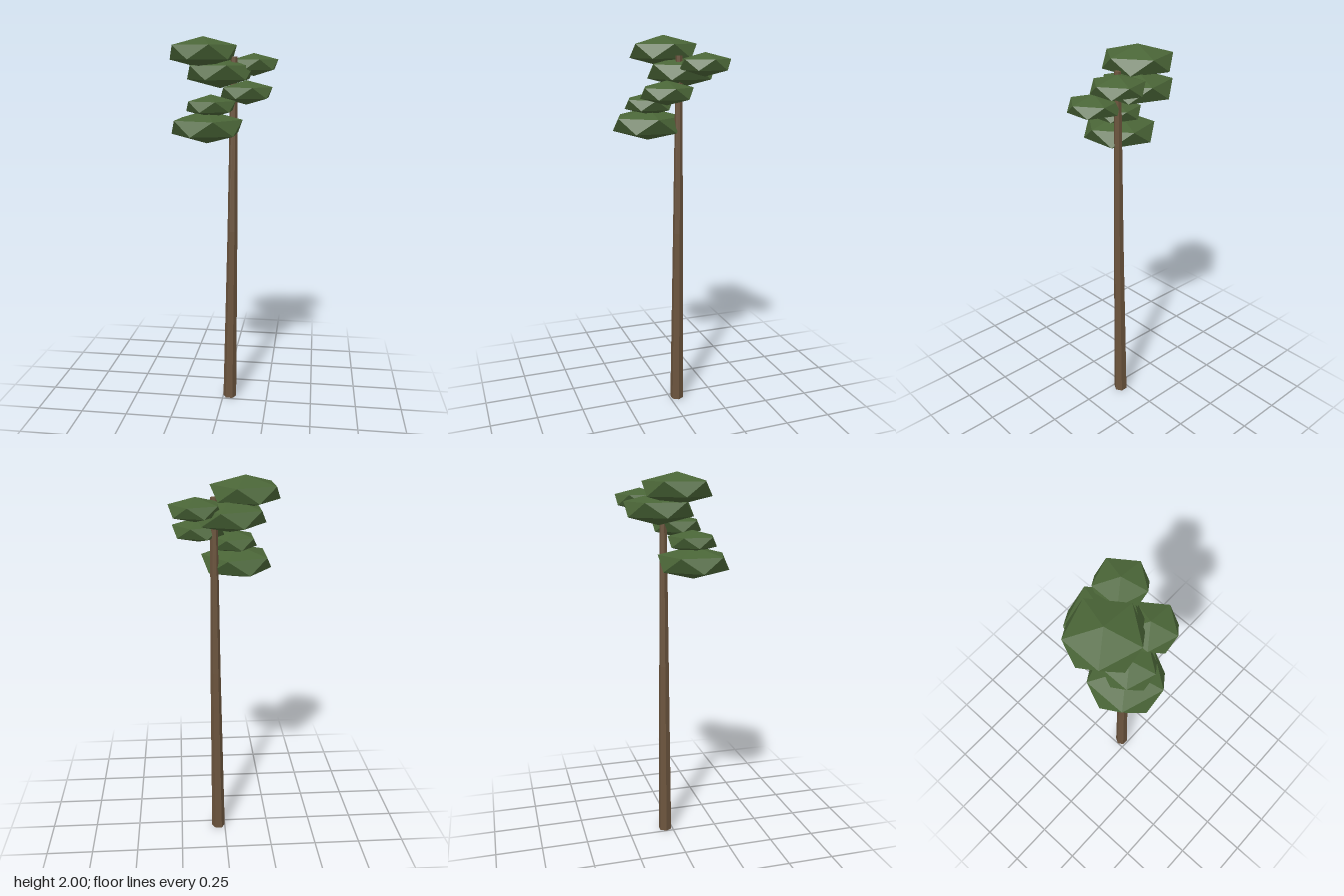
import * as THREE from 'three';

const foliage = new THREE.MeshStandardMaterial({ color: 0x4a6537, flatShading: true });
foliage.name = 'foliage green';
const bark = new THREE.MeshStandardMaterial({ color: 0x6b543d, flatShading: true });
bark.name = 'bark brown';

// Flattened icosahedron, standing on a corner, with an upper corner toward +x
function leafClump(x, y, z, ringRadius) {
  const radius = ringRadius / 0.8944;
  const geometry = new THREE.IcosahedronGeometry(radius, 0);
  geometry.rotateZ(-Math.atan(2 / (1 + Math.sqrt(5))));
  geometry.scale(1, 0.41, 1);
  const mesh = new THREE.Mesh(geometry, foliage);
  mesh.position.set(x, y, z);
  return mesh;
}

// Six-sided tapered piece whose axis leans from one point to the other
function trunkPiece([x0, y0, z0, r0], [x1, y1, z1, r1]) {
  const h = y1 - y0;
  const geometry = new THREE.CylinderGeometry(r1, r0, h, 6, 1, false, Math.PI / 2);
  geometry.translate(0, h / 2, 0);
  const p = geometry.attributes.position;
  for (let i = 0; i < p.count; i++) {
    const t = p.getY(i) / h;
    p.setXYZ(i, p.getX(i) + x0 + (x1 - x0) * t, p.getY(i) + y0, p.getZ(i) + z0 + (z1 - z0) * t);
  }
  geometry.computeVertexNormals();
  return new THREE.Mesh(geometry, bark);
}

export function createModel() {
  const tree = new THREE.Group();
  tree.name = 'tree';

  // Trunk: x, y, z, radius at each joint
  const joints = [
    [0.037, 0, -0.041, 0.037],
    [0.049, 0.98, -0.04, 0.027],
    [0.054, 1.9, -0.04, 0.017],
  ];
  ['lowerTrunk', 'upperTrunk'].forEach((name, i) => {
    const piece = trunkPiece(joints[i], joints[i + 1]);
    piece.name = name;
    tree.add(piece);
  });

  // Crown: centre x, y, z and ring radius of each clump
  const crown = new THREE.Group();
  crown.name = 'crown';
  const clumps = {
    topClump: [-0.102, 1.921, -0.01, 0.174],
    backLeftClump: [0.147, 1.86, -0.143, 0.128],
    backClump: [-0.023, 1.821, -0.083, 0.177],
    frontLeftClump: [0.128, 1.725, 0.05, 0.132],
    frontRightClump: [-0.048, 1.658, 0.086, 0.126],
    bottomClump: [-0.069, 1.554, 0.087, 0.183],
  };
  for (const [name, spec] of Object.entries(clumps)) {
    const clump = leafClump(...spec);
    clump.name = name;
    crown.add(clump);
  }
  tree.add(crown);
  return tree;
}
